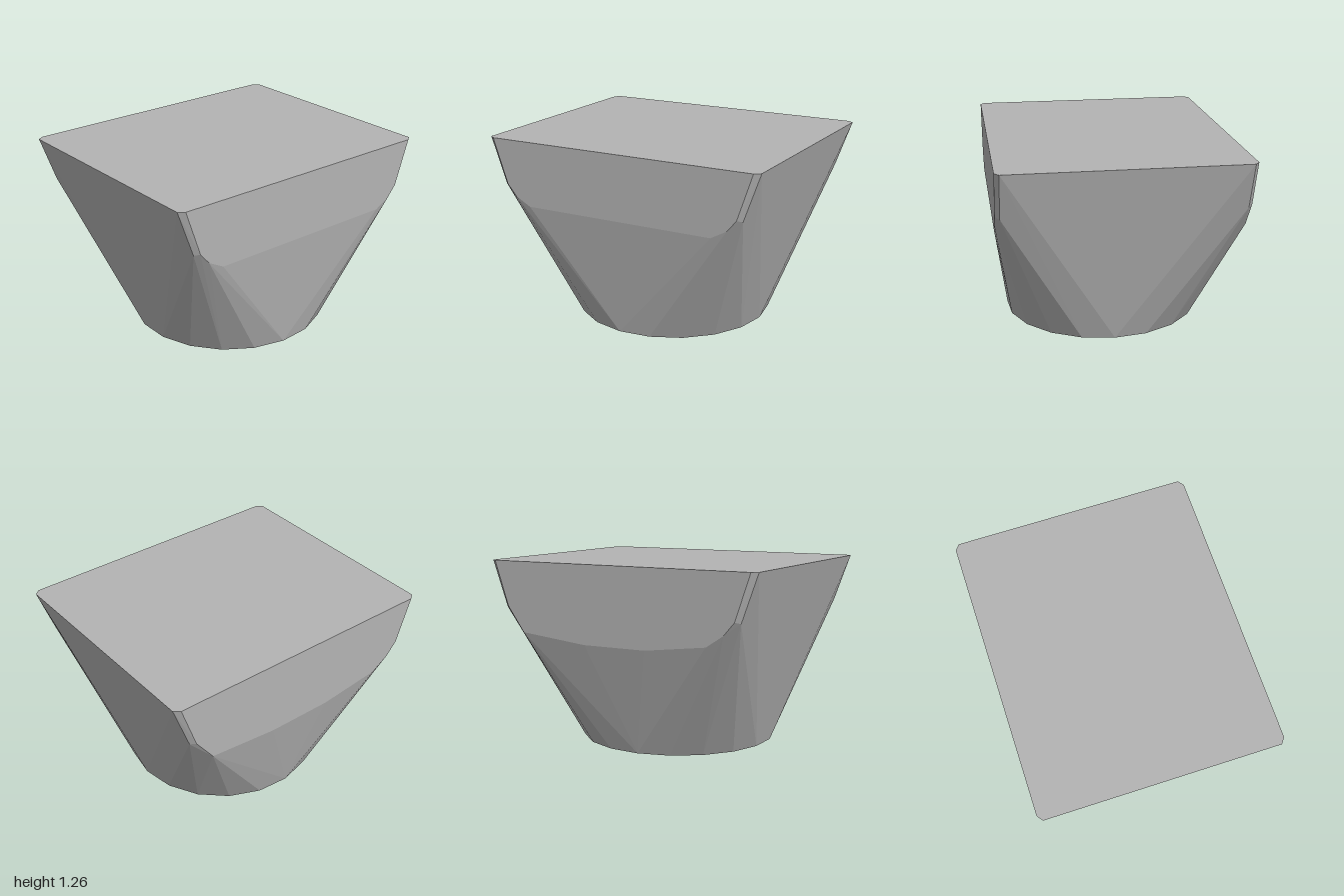
import * as THREE from 'three';
import { ConvexGeometry } from 'three/addons/geometries/ConvexGeometry.js';

export function createModel() {
  const group = new THREE.Group();
  group.name = 'taperedBlock';
  const grey = new THREE.MeshStandardMaterial({ color: 0xb4b4b4 });
  grey.name = 'plain grey';

  const points = [];
  const add = (x, y, z) => points.push(new THREE.Vector3(x, y, z));

  // round foot: 19 sides, set slightly towards the front
  const sides = 19, radius = 0.677;
  for (let i = 0; i < sides; i++) {
    const a = (i / sides) * Math.PI * 2;
    add(radius * Math.cos(a), 0, 0.035 + radius * Math.sin(a));
  }

  // chamfered corners: rectangular top and the lower end of each chamfer
  for (const sx of [-1, 1]) {
    for (const sz of [-1, 1]) {
      add(sx * 0.96, 1.265, sz * 0.82);
      add(sx, 1.265, sz * 0.79);
      add(sx * 0.855, 0.957, sz * 0.82);
      add(sx * 0.885, 0.947, sz * 0.79);
    }
    // lower edge of the upright front wall
    add(sx * 0.79, 0.88, 0.82);
    add(sx * 0.68, 0.82, 0.82);
  }

  // lower edge of the upright back wall, which dips in the middle
  const backEdge = [[0.73, 0.785], [0.24, 0.735], [-0.22, 0.735], [-0.66, 0.79], [-0.78, 0.87]];
  for (const [x, y] of backEdge) add(x, y, -0.82);

  // faceted body spanning the foot, walls and top
  const body = new THREE.Mesh(new ConvexGeometry(points), grey);
  body.name = 'body';
  group.add(body);
  return group;
}
